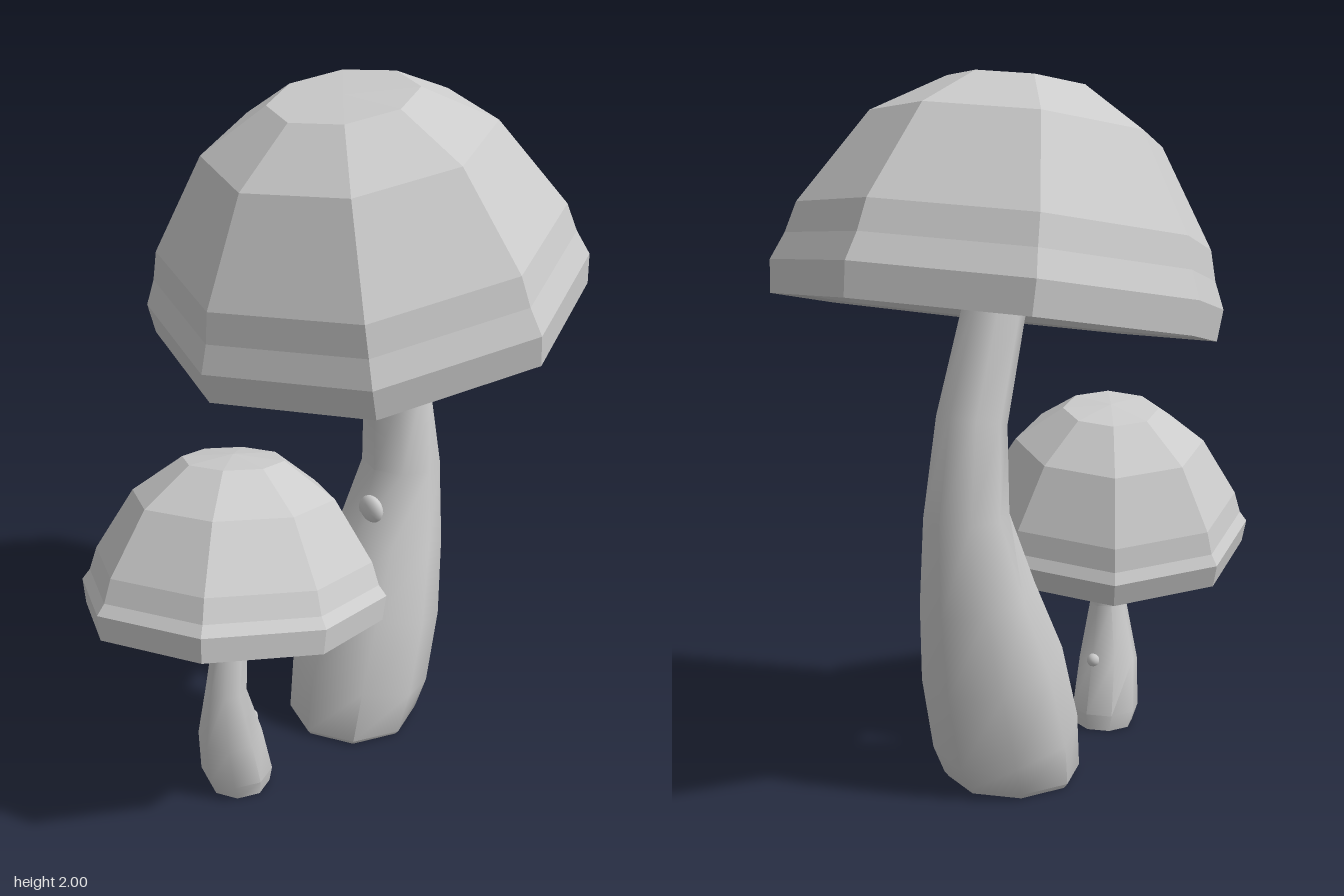
import * as THREE from 'three';
import { toCreasedNormals } from 'three/addons/utils/BufferGeometryUtils.js';

const SIDES = 8;
const faceted = new THREE.MeshStandardMaterial({ color: 0xcccccc, flatShading: true });
const smooth = new THREE.MeshStandardMaterial({ color: 0xcccccc });

function lathe(name, profile) {
  const points = profile.map(([r, h]) => new THREE.Vector2(r, h));
  const mesh = new THREE.Mesh(new THREE.LatheGeometry(points, SIDES), faceted);
  mesh.name = name;
  return mesh;
}

// Small flattened ball; size is [x, y, z] radii
function bump(name, position, size) {
  const mesh = new THREE.Mesh(new THREE.SphereGeometry(1, 16, 12), smooth);
  mesh.name = name;
  mesh.position.set(...position);
  mesh.scale.set(...size);
  return mesh;
}

// Bent, tapering stem: rings of [x, y, z, radius]; the foot is level, the rest square to the path
function stem(name, rings) {
  const centres = rings.map(([x, y, z]) => new THREE.Vector3(x, y, z));
  const positions = [];
  const index = [];
  rings.forEach(([, , , radius], i) => {
    const tangent = new THREE.Vector3(0, 1, 0);
    if (i > 2) {
      const next = centres[Math.min(i + 1, centres.length - 1)];
      tangent.subVectors(next, centres[i - 1]).normalize();
    }
    const u = new THREE.Vector3(1, 0, 0).addScaledVector(tangent, -tangent.x).normalize();
    const v = new THREE.Vector3().crossVectors(tangent, u);
    for (let j = 0; j < SIDES; j++) {
      const a = (j / SIDES) * Math.PI * 2;
      const p = centres[i].clone()
        .addScaledVector(u, radius * Math.cos(a))
        .addScaledVector(v, radius * Math.sin(a));
      positions.push(p.x, p.y, p.z);
      if (i > 0) {
        const k = (j + 1) % SIDES;
        const low = (i - 1) * SIDES;
        const high = i * SIDES;
        index.push(low + j, low + k, high + k, low + j, high + k, high + j);
      }
    }
  });
  const geometry = new THREE.BufferGeometry();
  geometry.setAttribute('position', new THREE.Float32BufferAttribute(positions, 3));
  geometry.setIndex(index);
  const mesh = new THREE.Mesh(toCreasedNormals(geometry, 0.85), smooth);
  mesh.name = name;
  return mesh;
}

// Cap with a hollow underside, a collar around the stem, and bumps on its ceiling
function cap(name, dome, ceiling, collarRadius, collarBottom, bumps) {
  const group = new THREE.Group();
  group.name = name;
  const rim = dome[0][0];
  group.add(lathe('capShell', [
    [0, ceiling], [rim * 0.81, ceiling], [rim * 0.78, ceiling * 0.2],
    [rim * 0.87, ceiling * 0.12], [rim * 0.9, 0.005],
    ...dome,
  ]));
  const collarEdge = THREE.MathUtils.lerp(collarBottom, ceiling, 0.3);
  group.add(lathe('stemCollar', [
    [0, collarBottom], [collarRadius * 0.88, collarBottom],
    [collarRadius, collarEdge], [collarRadius, ceiling + 0.01],
  ]));
  for (const [x, z, r] of bumps) {
    group.add(bump('undersideBump', [x, ceiling, z], [r, r * 0.7, r]));
  }
  return group;
}

export function createModel() {
  const model = new THREE.Group();
  model.name = 'mushrooms';

  // Large mushroom, its cap nodding forward
  const large = new THREE.Group();
  large.name = 'largeMushroom';
  const largeCap = cap('largeCap', [
    [0.618, 0], [0.627, 0.09], [0.595, 0.165], [0.573, 0.25],
    [0.404, 0.515], [0.207, 0.633], [0, 0.637],
  ], 0.2, 0.21, 0.06, [[0.22, 0.14, 0.07], [0.04, -0.28, 0.055], [0.19, 0.31, 0.025]]);
  largeCap.position.set(0, 1.337, -0.19);
  largeCap.rotation.x = 0.178;
  large.add(largeCap);
  large.add(stem('largeStem', [
    [0, 0, -0.133, 0], [0, 0, -0.133, 0.185], [0, 0.015, -0.134, 0.197], [0, 0.14, -0.165, 0.212],
    [0, 0.36, -0.225, 0.203], [0, 0.58, -0.29, 0.162], [0, 0.81, -0.335, 0.118],
    [0, 1.07, -0.308, 0.098], [0, 1.35, -0.212, 0.088], [0, 1.47, -0.17, 0.088],
  ]));
  large.add(bump('largeStemBump', [0.02, 0.7, -0.185], [0.045, 0.045, 0.025]));
  model.add(large);

  // Small mushroom, its cap leaning back and to one side
  const small = new THREE.Group();
  small.name = 'smallMushroom';
  const smallCap = cap('smallCap', [
    [0.422, 0], [0.432, 0.07], [0.41, 0.1], [0.39, 0.165],
    [0.284, 0.338], [0.143, 0.44], [0, 0.453],
  ], 0.13, 0.1, 0.085, [[0.09, 0.08, 0.035]]);
  smallCap.position.set(0.026, 0.587, 0.38);
  const lean = new THREE.Vector3(-0.14, 1, -0.16).normalize();
  smallCap.quaternion.setFromUnitVectors(new THREE.Vector3(0, 1, 0), lean);
  smallCap.rotateY(-0.13);
  small.add(smallCap);
  small.add(stem('smallStem', [
    [0.02, 0, 0.367, 0], [0.02, 0, 0.367, 0.09], [0.02, 0.05, 0.375, 0.104],
    [0.03, 0.2, 0.405, 0.092], [0.055, 0.37, 0.437, 0.058],
    [0.037, 0.6, 0.39, 0.043], [0.02, 0.7, 0.365, 0.04],
  ]));
  small.add(bump('smallStemBump', [0.03, 0.21, 0.325], [0.022, 0.022, 0.022]));
  model.add(small);

  return model;
}
